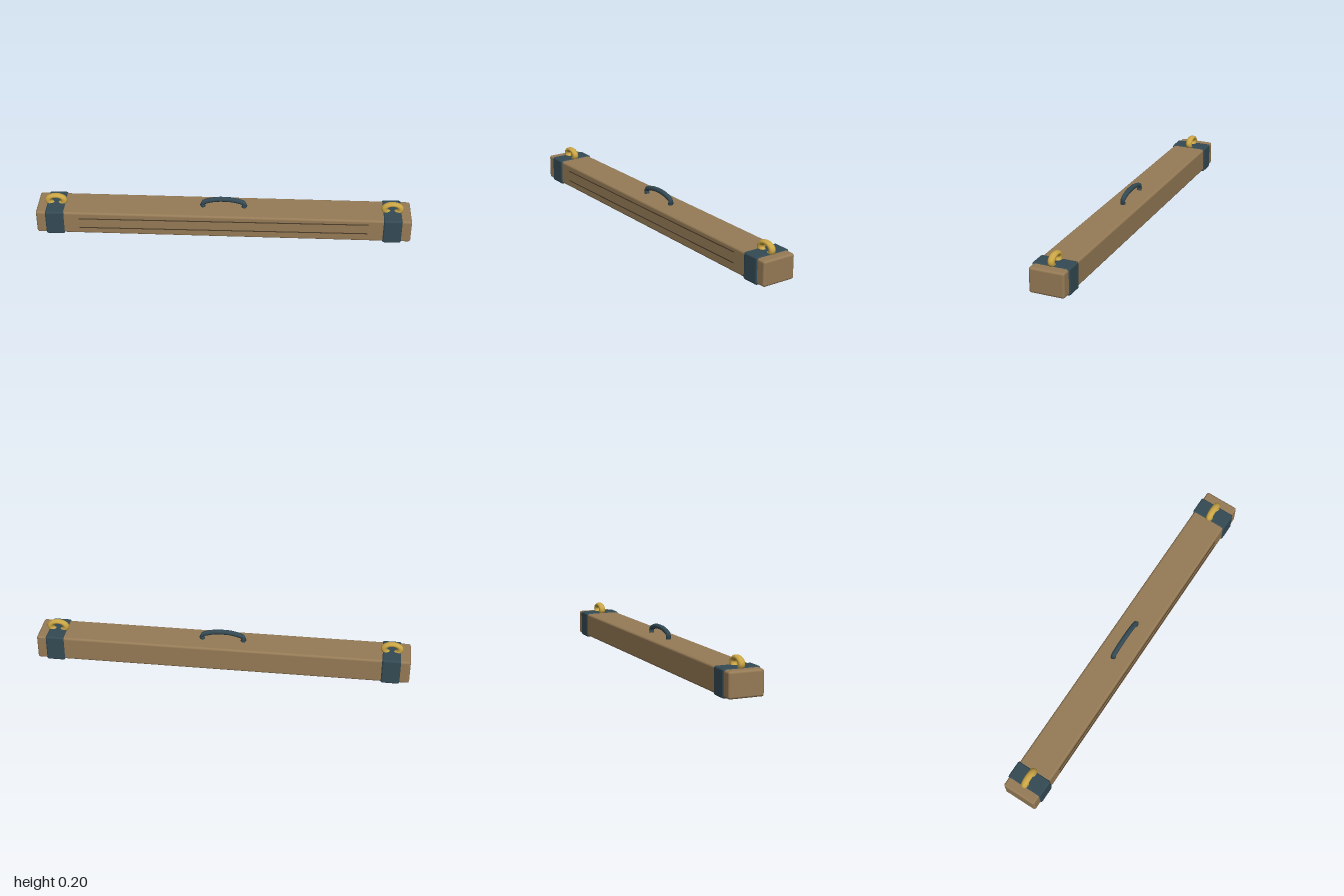
import * as THREE from 'three';
import { RoundedBoxGeometry } from 'three/addons/geometries/RoundedBoxGeometry.js';

const material = (name, color) => {
  const m = new THREE.MeshStandardMaterial({ color });
  m.name = name;
  return m;
};

export function createModel() {
  const wood = material('wood', 0x967b56);
  const slate = material('slate', 0x344a54);
  const brass = material('brass', 0xcba645);
  const grain = material('darkGrain', 0x4a3b2a);

  const model = new THREE.Group();
  model.name = 'beamCase';

  const add = (name, geometry, mat, x = 0, y = 0, z = 0) => {
    const mesh = new THREE.Mesh(geometry, mat);
    mesh.name = name;
    mesh.position.set(x, y, z);
    model.add(mesh);
    return mesh;
  };

  // Long wooden body with softened edges
  add('body', new RoundedBoxGeometry(2, 0.133, 0.188, 2, 0.012), wood, 0, 0.0715);

  // Wrapped band and flattened brass ring near each end
  for (const [side, s] of [['left', 1], ['right', -1]]) {
    add(side + 'Band', new RoundedBoxGeometry(0.1, 0.142, 0.2, 2, 0.01), slate, s * 0.9, 0.071);
    const ring = add(side + 'Ring', new THREE.TorusGeometry(0.042, 0.018, 12, 28), brass, s * 0.9, 0.156);
    ring.scale.y = 0.65;
  }

  // Arched carrying handle with capped feet
  const path = new THREE.CatmullRomCurve3([
    [-0.108, 0.138], [-0.114, 0.16], [-0.058, 0.182], [0, 0.187],
    [0.058, 0.182], [0.114, 0.16], [0.108, 0.138],
  ].map(([x, y]) => new THREE.Vector3(x, y, 0)));
  add('handle', new THREE.TubeGeometry(path, 18, 0.0135, 8), slate);

  // Two fine, slightly tilted grain lines on the front face
  for (const [name, y] of [['upperGrainLine', 0.107], ['lowerGrainLine', 0.05]]) {
    const line = add(name, new THREE.BoxGeometry(1.54, 0.0046, 0.006), grain, 0, y, 0.094);
    line.rotation.z = 0.007;
  }

  return model;
}
